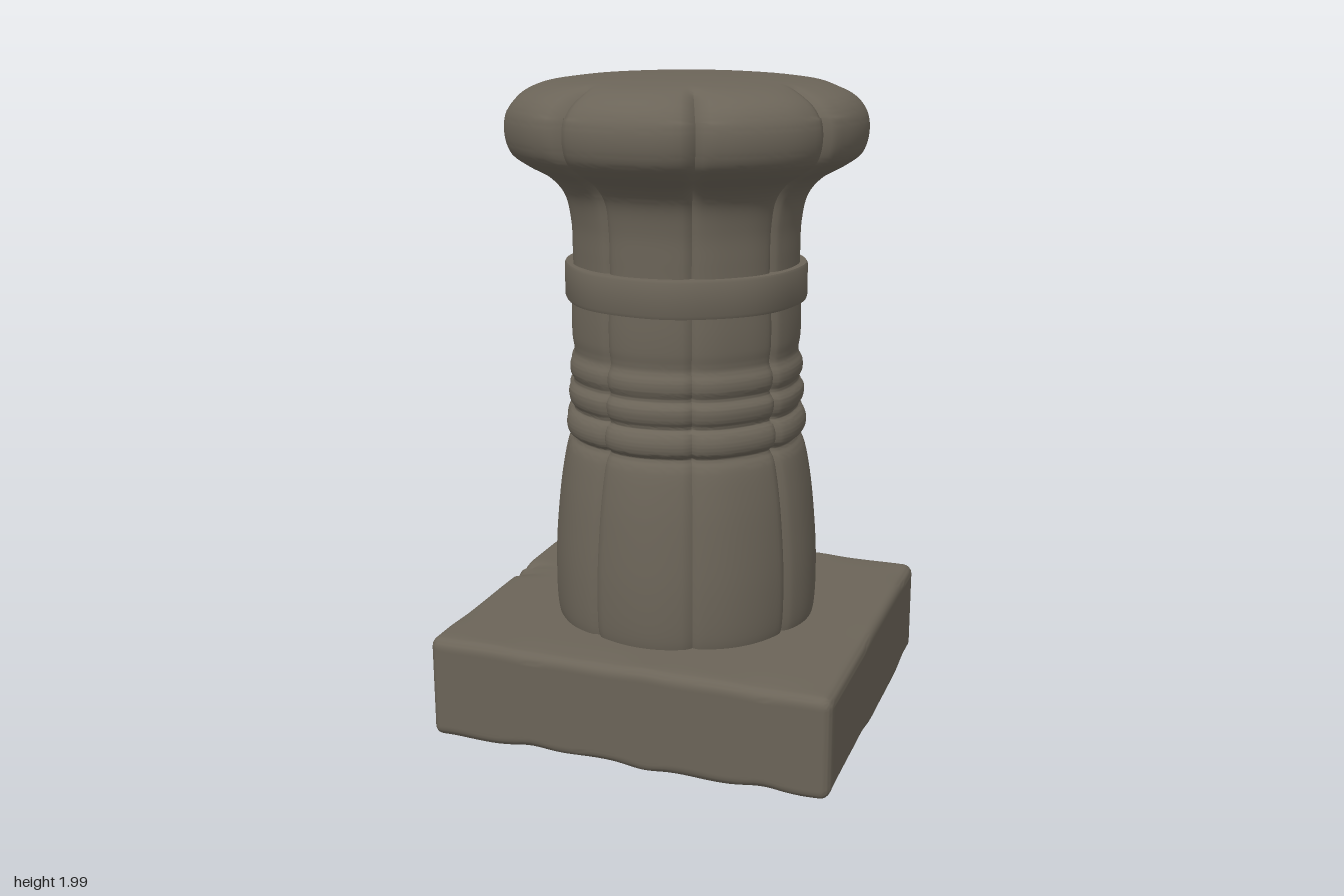
import * as THREE from 'three';
import { mergeVertices, toCreasedNormals } from 'three/addons/utils/BufferGeometryUtils.js';

const stone = new THREE.MeshStandardMaterial({ color: 0x6b6458 });
stone.name = 'weathered stone';

// Move every vertex by a rule, weld seams and rebuild normals with the given crease angle
function sculpt(geometry, rule, crease) {
  geometry.deleteAttribute('uv');
  geometry.deleteAttribute('normal');
  const pos = geometry.attributes.position;
  const v = new THREE.Vector3();
  for (let i = 0; i < pos.count; i++) {
    v.fromBufferAttribute(pos, i);
    rule(v);
    pos.setXYZ(i, v.x, v.y, v.z);
  }
  return toCreasedNormals(mergeVertices(geometry, 1e-4), crease);
}

function addPart(group, name, geometry) {
  const mesh = new THREE.Mesh(geometry, stone);
  mesh.name = name;
  group.add(mesh);
}

const bump = (x, centre, width) => Math.exp(-(((x - centre) / width) ** 2));

// Smooth lathe profile given as [radius, height], cut by eight vertical grooves
function lobedLathe(points, samples, grooveDepth) {
  const curve = new THREE.CatmullRomCurve3(
    points.map(([r, y]) => new THREE.Vector3(r, y, 0)), false, 'centripetal');
  const profile = curve.getPoints(samples).map(p => new THREE.Vector2(Math.max(p.x, 0), p.y));
  return sculpt(new THREE.LatheGeometry(profile, 160), v => {
    const r = Math.hypot(v.x, v.z);
    if (r < 1e-4) return;
    const angle = Math.atan2(v.x, v.z);
    const fromGroove = Math.abs(((angle / (Math.PI / 4) + 8) % 1) - 0.5) * Math.PI / 4;
    const cut = grooveDepth(r, v.y) * (bump(fromGroove, 0, 0.03) + 0.5 * bump(fromGroove, 0, 0.15));
    const wear = 0.002 * Math.sin(angle * 9 + v.y * 3) * Math.min(1, r / 0.3);
    const k = (r - cut + wear) / r;
    v.x *= k;
    v.z *= k;
    if (v.y > 1.9) v.y -= cut * 0.5;
  }, 0.9);
}

// Block with small rounded edges, wavy worn rims and chips on the right-hand edge
function plinthGeometry() {
  const half = new THREE.Vector3(0.627, 0.163, 0.563);
  const edge = 0.03;
  const spread = (t, h) => {
    // pack the outer rows of vertices into the rounded edge
    const inner = 0.88;
    const a = Math.abs(t);
    const d = a <= inner ? (a / inner) * (h - edge) : h - edge + ((a - inner) / (1 - inner)) * edge;
    return Math.sign(t) * d;
  };
  const geometry = new THREE.BoxGeometry(2, 2, 2, 50, 50, 50);
  return sculpt(geometry, v => {
    v.set(spread(v.x, half.x), spread(v.y, half.y), spread(v.z, half.z));
    const core = new THREE.Vector3(
      THREE.MathUtils.clamp(v.x, -half.x + edge, half.x - edge),
      THREE.MathUtils.clamp(v.y, -half.y + edge, half.y - edge),
      THREE.MathUtils.clamp(v.z, -half.z + edge, half.z - edge));
    const out = v.clone().sub(core);
    if (out.lengthSq() > 1e-9) v.copy(core).add(out.setLength(edge));
    const rim = Math.max(bump(Math.abs(v.x), half.x, 0.06), bump(Math.abs(v.z), half.z, 0.06));
    const wave = 0.5 + 0.5 * Math.sin(v.x * 9 + v.z * 7 + Math.sin(v.x * 17 - v.z * 13));
    if (v.y < -0.1) v.y += 0.016 * rim * wave;
    if (v.y > 0.1) {
      v.y -= 0.006 * rim * wave;
      const chips = bump(v.z, -0.39, 0.02) + bump(v.z, -0.1, 0.018) + bump(v.z, -0.04, 0.02);
      v.y -= 0.018 * chips * bump(v.x, -half.x, 0.08);
    }
    v.y += 0.173;
  }, 0.8);
}

export function createModel() {
  const group = new THREE.Group();
  group.name = 'stonePedestal';

  addPart(group, 'plinth', plinthGeometry());

  // Swelling shaft with three rounded rings above it
  addPart(group, 'shaft', lobedLathe([
    [0.405, 0.31], [0.415, 0.36], [0.418, 0.5], [0.408, 0.65], [0.392, 0.78],
    [0.37, 0.88], [0.353, 0.91], [0.37, 0.925], [0.376, 0.955], [0.366, 0.985],
    [0.351, 1.0], [0.364, 1.025], [0.366, 1.06], [0.35, 1.085], [0.36, 1.11],
    [0.36, 1.14], [0.347, 1.17], [0.352, 1.22], [0.353, 1.28], [0.349, 1.36],
  ], 110, () => 0.012));

  // Flat collar
  const collar = [[0.33, 1.33], [0.364, 1.33], [0.368, 1.34], [0.368, 1.435], [0.364, 1.442], [0.33, 1.442]]
    .map(([r, y]) => new THREE.Vector2(r, y));
  addPart(group, 'collar', sculpt(new THREE.LatheGeometry(collar, 96), v => {
    const k = 1 + 0.006 * Math.sin(Math.atan2(v.x, v.z) * 8);
    v.x *= k;
    v.z *= k;
  }, 0.7));

  // Flared neck and cushion-shaped top
  addPart(group, 'capital', lobedLathe([
    [0.345, 1.4], [0.346, 1.48], [0.349, 1.57], [0.368, 1.65], [0.41, 1.7],
    [0.48, 1.74], [0.525, 1.775], [0.543, 1.83], [0.537, 1.89], [0.505, 1.935],
    [0.44, 1.967], [0.34, 1.985], [0.2, 1.996], [0, 2],
  ], 90, (r, y) => 0.026 * (y > 1.85 ? THREE.MathUtils.smoothstep(r, 0.36, 0.5)
    : 0.5 + 0.5 * THREE.MathUtils.smoothstep(y, 1.55, 1.8))));

  return group;
}
